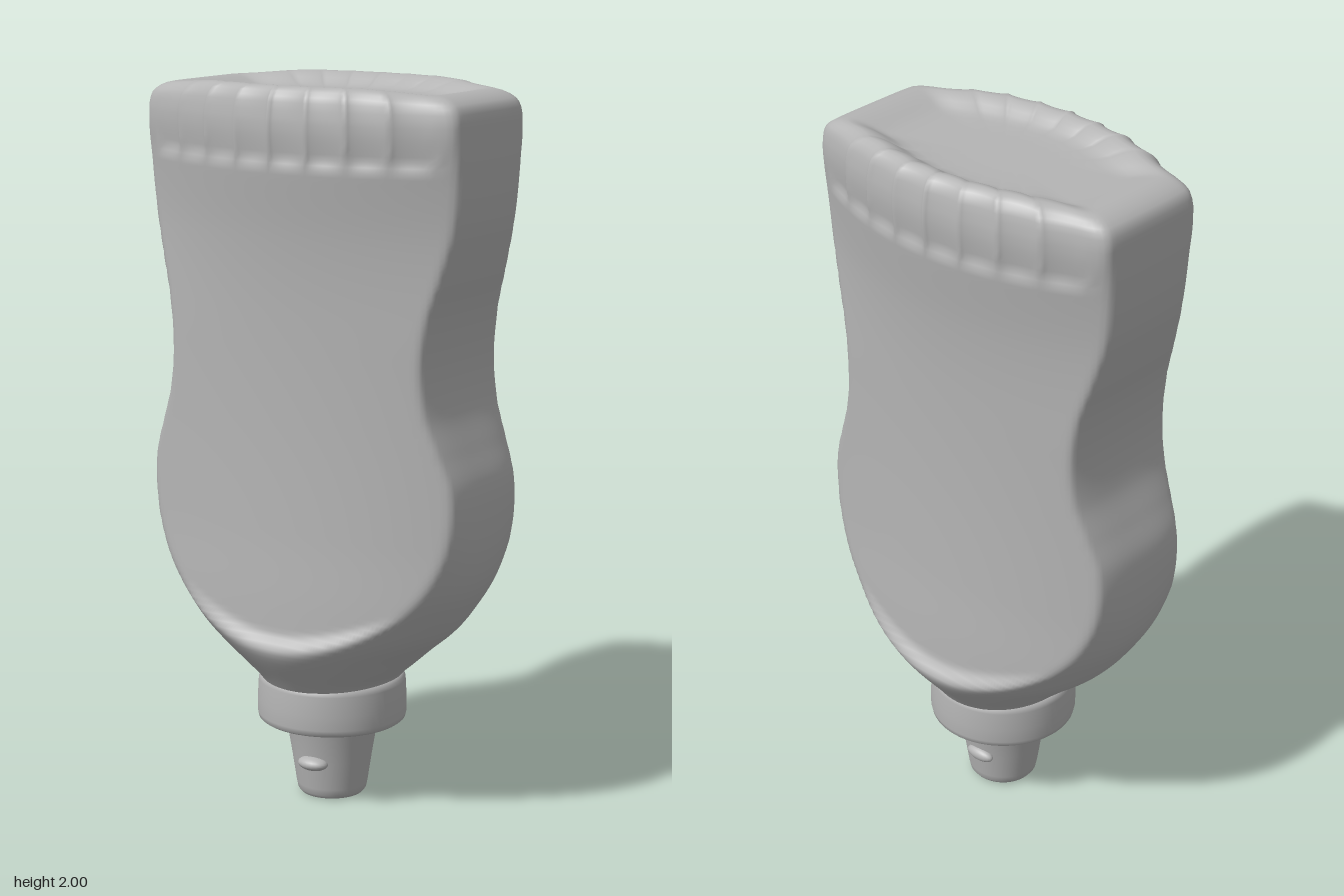
import * as THREE from 'three';

// Smooth interpolation through [y, value] pairs
function profile(points) {
  const n = points.length;
  const slope = (i) => {
    const a = points[Math.max(i - 1, 0)], b = points[Math.min(i + 1, n - 1)];
    return (b[1] - a[1]) / (b[0] - a[0]);
  };
  return (y) => {
    if (y <= points[0][0]) return points[0][1];
    if (y >= points[n - 1][0]) return points[n - 1][1];
    let i = 0;
    while (points[i + 1][0] < y) i++;
    const [y0, v0] = points[i], [y1, v1] = points[i + 1];
    const h = y1 - y0, t = (y - y0) / h, t2 = t * t, t3 = t2 * t;
    return v0 * (2 * t3 - 3 * t2 + 1) + v1 * (3 * t2 - 2 * t3)
      + h * (slope(i) * (t3 - 2 * t2 + t) + slope(i + 1) * (t3 - t2));
  };
}
const smooth = THREE.MathUtils.smoothstep;

// Outline half width, shoulder half depth, label panel depth and bulge, section squareness
const halfWidth = profile([[0.34, 0.19], [0.36, 0.2], [0.4, 0.245], [0.45, 0.3], [0.5, 0.358], [0.55, 0.4],
  [0.65, 0.46], [0.75, 0.49], [0.86, 0.5], [0.96, 0.493], [1.05, 0.462], [1.15, 0.428], [1.27, 0.415],
  [1.4, 0.427], [1.52, 0.458], [1.65, 0.488], [1.8, 0.5], [1.94, 0.498]]);
const shoulderDepth = profile([[0.34, 0.2], [0.36, 0.215], [0.48, 0.303], [0.6, 0.335], [0.8, 0.345], [1.94, 0.36]]);
const panelDepth = profile([[0.34, 0.278], [0.6, 0.27], [0.8, 0.26], [1.1, 0.254], [1.4, 0.258], [1.6, 0.27],
  [1.8, 0.295], [1.88, 0.303], [1.94, 0.3]]);
const panelBulge = profile([[0.34, 0.4], [1.3, 0.4], [1.75, 0.55], [1.94, 0.55]]);
const squareness = profile([[0.34, 2], [0.5, 2.1], [0.7, 2.6], [0.9, 3.4], [1.6, 3.8], [1.94, 4.2]]);

// Radius of the body section at height y in the direction (c, s)
function bodyRadius(y, c, s) {
  const n = squareness(y), as = Math.abs(s);
  const wall = Math.pow(Math.pow(Math.abs(c) / halfWidth(y), n) + Math.pow(as / shoulderDepth(y), n), -1 / n);
  const k = panelBulge(y) * c * c;
  const face = (d) => k < 1e-6 ? d / Math.max(as, 1e-6)
    : (-as + Math.sqrt(as * as + 4 * k * d)) / (2 * k);
  let d = panelDepth(y);
  // Raised lip along the curved lower edge of the panel
  const wx = c * wall;
  d += 0.03 * (1 - smooth(y - 0.7 * wx * wx, 0.478, 0.525));
  // Scalloped flutes near the top
  const x = c * Math.min(wall, face(d));
  const flute = smooth(y, 1.785, 1.82) * (1 - smooth(Math.abs(x), 0.44, 0.47));
  d -= 0.013 * flute * Math.sqrt(Math.abs(Math.sin(Math.PI * x / 0.112)));
  const panel = face(d);
  // Soft minimum rounds the edge between wall and panel
  const h = Math.max(0.014 - Math.abs(wall - panel), 0) / 0.014;
  return Math.min(wall, panel) - h * h * 0.014 * 0.25;
}

// Squeeze body: stacked sections, then shrinking rings for the rounded, dished end
function bodyGeometry() {
  const around = 256, rows = 108, positions = [], index = [], rings = [];
  for (let i = 0; i <= rows; i++) rings.push([0.34 + (1.92 - 0.34) * i / rows, 1]);
  rings.push([1.94, 0.994], [1.96, 0.982], [1.975, 0.964], [1.988, 0.935], [1.996, 0.9], [2, 0.86], [1.999, 0.82],
    [1.993, 0.77], [1.983, 0.72], [1.972, 0.67], [1.965, 0.62], [1.962, 0.55], [1.96, 0.4], [1.96, 0.2]);
  for (const [y, scale] of rings) {
    for (let j = 0; j < around; j++) {
      const a = 2 * Math.PI * j / around, c = Math.cos(a), s = Math.sin(a);
      const r = bodyRadius(Math.min(y, 1.94), c, s) * scale;
      const sag = 0.016 * smooth(y, 1.93, 2) * smooth(Math.abs(r * c), 0.2, 0.46);
      positions.push(r * c, y - sag, r * s);
    }
  }
  for (let i = 0; i < rings.length - 1; i++) {
    for (let j = 0; j < around; j++) {
      const a = i * around + j, b = i * around + (j + 1) % around;
      index.push(a, a + around, b, b, a + around, b + around);
    }
  }
  const centre = positions.length / 3, last = centre - around;
  positions.push(0, 1.96, 0);
  for (let j = 0; j < around; j++) index.push(last + j, centre, last + (j + 1) % around);
  const g = new THREE.BufferGeometry();
  g.setAttribute('position', new THREE.Float32BufferAttribute(positions, 3));
  g.setIndex(index);
  g.computeVertexNormals();
  return g;
}

const lathe = (pts) => new THREE.LatheGeometry(pts.map(([r, y]) => new THREE.Vector2(r, y)), 64);

export function createModel() {
  const group = new THREE.Group();
  const grey = new THREE.MeshStandardMaterial({ color: 0xb4b4b4 });
  grey.name = 'plain grey';
  const add = (name, geometry) => {
    const mesh = new THREE.Mesh(geometry, grey);
    mesh.name = name;
    group.add(mesh);
    return mesh;
  };

  add('body', bodyGeometry());

  // Screw collar with softened rims
  add('collar', lathe([[0, 0.218], [0.185, 0.218], [0.198, 0.22], [0.206, 0.226], [0.209, 0.24], [0.209, 0.28],
    [0.206, 0.335], [0.203, 0.346], [0.196, 0.354], [0.185, 0.356], [0, 0.356]]));

  // Tapered spout with a hollow tip
  add('spout', lathe([[0, 0.025], [0.05, 0.024], [0.064, 0.016], [0.07, 0.004], [0.078, 0], [0.088, 0.002],
    [0.096, 0.012], [0.1, 0.03], [0.112, 0.11], [0.126, 0.195], [0.132, 0.208], [0.142, 0.222]]));

  // Small catches on the front and back of the spout
  for (const side of [1, -1]) {
    const nub = add(side > 0 ? 'frontCatch' : 'backCatch', new THREE.SphereGeometry(1, 20, 14));
    nub.scale.set(0.046, 0.02, side > 0 ? 0.032 : 0.02);
    nub.position.set(0.01 * side, 0.11, 0.11 * side);
  }
  return group;
}
